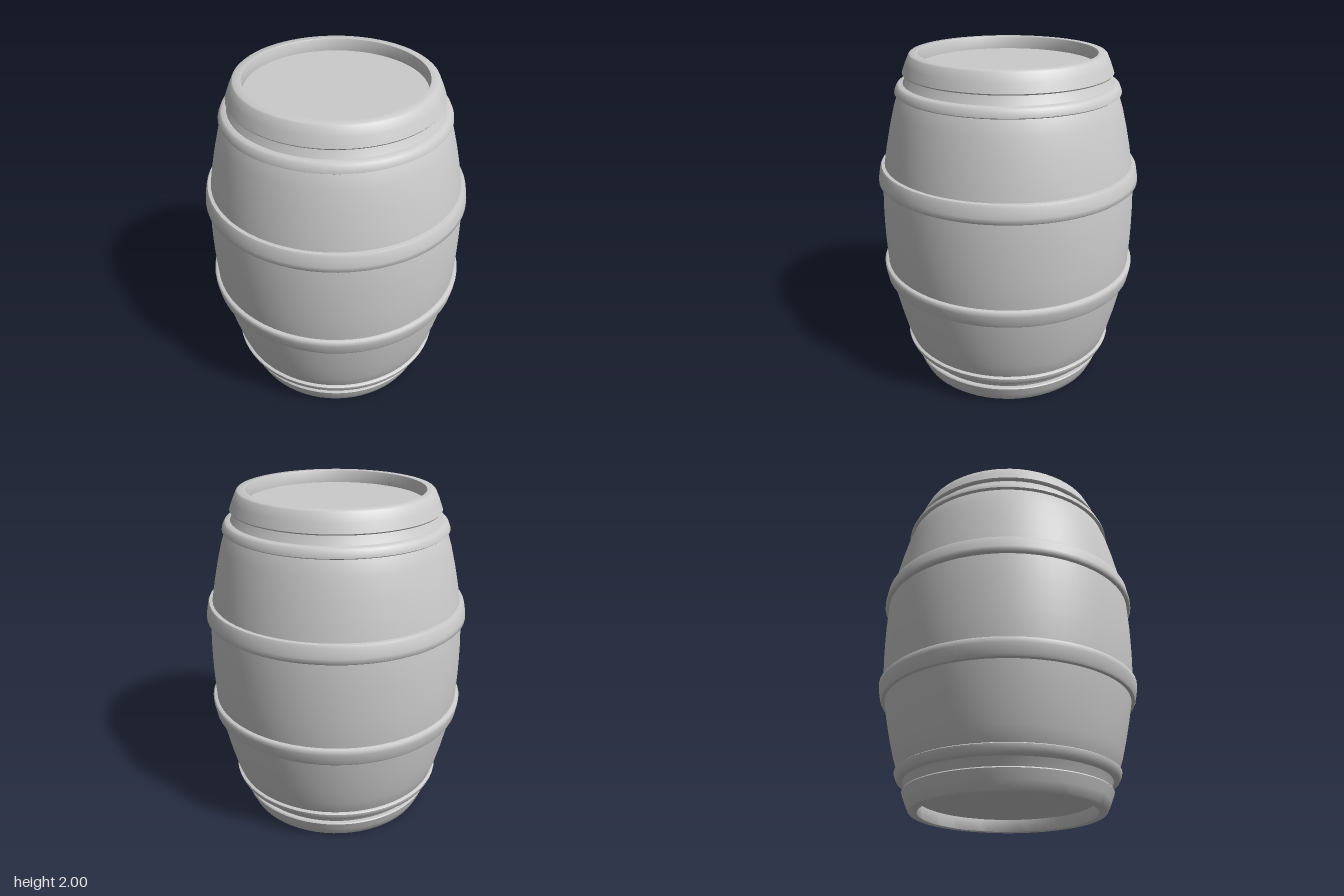
import * as THREE from 'three';
import { toCreasedNormals } from 'three/addons/utils/BufferGeometryUtils.js';

const SEGMENTS = 64;
const material = new THREE.MeshStandardMaterial({ color: 0xcccccc });

// Turns a list of [radius, height], running upwards along the outside, around the y axis
function turned(name, profile, crease = 0.95) {
  const points = profile.map(([r, y]) => new THREE.Vector2(r, y));
  const geometry = toCreasedNormals(new THREE.LatheGeometry(points, SEGMENTS), crease);
  const mesh = new THREE.Mesh(geometry, material);
  mesh.name = name;
  return mesh;
}

// Mirrors an upper profile about the barrel's middle (y = 1)
const flip = (profile) => profile.map(([r, y]) => [r, 2 - y]).reverse();

export function createModel() {
  const barrel = new THREE.Group();
  barrel.name = 'barrel';

  // Bulging staves
  const upperStaves = [
    [0.76, 1], [0.759, 1.1], [0.752, 1.25], [0.737, 1.36], [0.717, 1.47],
    [0.693, 1.58], [0.665, 1.69], [0.635, 1.78], [0.605, 1.83], [0.58, 1.885],
  ];
  barrel.add(turned('staves', [...flip(upperStaves).slice(0, -1), ...upperStaves]));

  // End rims, each with a recessed round head
  const rim = [
    [0.57, 1.885], [0.6, 1.885], [0.605, 1.892], [0.585, 1.945], [0.563, 1.993],
    [0.555, 2], [0.512, 2], [0.51, 1.997], [0.51, 1.925],
  ];
  const head = [[0.51, 1.925], [0, 1.925]];

  // Thin hoop near the end and wide hoop around the belly
  const endHoop = [
    [0.62, 1.775], [0.645, 1.776], [0.654, 1.782], [0.652, 1.795],
    [0.64, 1.822], [0.63, 1.831], [0.6, 1.833],
  ];
  const bellyHoop = [
    [0.74, 1.256], [0.768, 1.256], [0.776, 1.263], [0.774, 1.29],
    [0.763, 1.348], [0.756, 1.361], [0.73, 1.364],
  ];

  const parts = { Rim: rim, Head: head, EndHoop: endHoop, BellyHoop: bellyHoop };
  for (const [name, profile] of Object.entries(parts)) {
    barrel.add(turned('upper' + name, profile));
    barrel.add(turned('lower' + name, flip(profile)));
  }
  return barrel;
}
